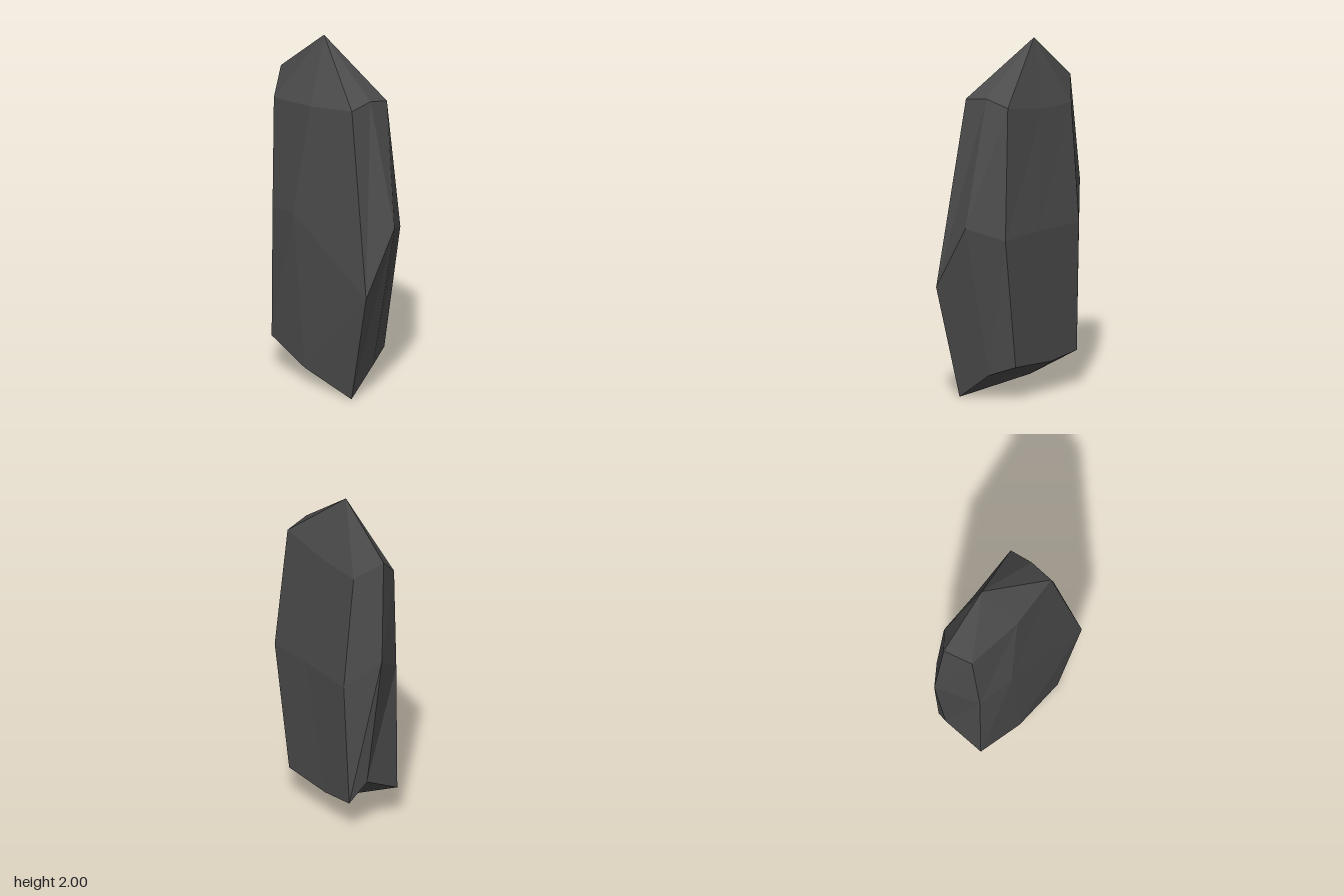
import * as THREE from 'three';

// Cross-sections run counterclockwise from above:
// front left, front middle, front right, right, back right, back middle, back left, left
const bottomRing = [
  [-0.33, 0.205, 0.145], [-0.04, 0.1, 0.18], [0.305, 0, 0.162], [0.285, 0.145, -0.03],
  [0.23, 0.2, -0.175], [-0.09, 0.18, -0.175], [-0.31, 0.205, -0.18], [-0.355, 0.33, -0.09],
];
const middleRing = [
  [-0.33, 0.97, 0.138], [-0.12, 1.0, 0.19], [0.46, 0.645, 0.205], [0.47, 1.01, -0.01],
  [0.34, 0.94, -0.19], [0.06, 0.95, -0.198], [-0.295, 0.94, -0.207], [-0.47, 1.14, -0.075],
];
const topRing = [
  [-0.355, 1.6, 0.102], [-0.025, 1.648, 0.15], [0.282, 1.695, 0.135], [0.284, 1.715, -0.01],
  [0.272, 1.678, -0.153], [-0.05, 1.62, -0.148], [-0.305, 1.61, -0.145], [-0.435, 1.732, -0.036],
];
const tip = [-0.105, 2, -0.04];
const base = [-0.05, 0.1, -0.06];

// Separate triangles keep every facet flat
function facets(triangles) {
  const geometry = new THREE.BufferGeometry();
  geometry.setAttribute('position', new THREE.Float32BufferAttribute(triangles.flat(2), 3));
  geometry.computeVertexNormals();
  return geometry;
}

// Wall between two rings
function band(lower, upper) {
  return lower.flatMap((a, i) => {
    const j = (i + 1) % lower.length;
    return [[a, lower[j], upper[j]], [a, upper[j], upper[i]]];
  });
}

// Cone of facets from a ring to one point
function cap(ring, point, facingDown) {
  return ring.map((a, i) => {
    const b = ring[(i + 1) % ring.length];
    return facingDown ? [b, a, point] : [a, b, point];
  });
}

export function createModel() {
  const group = new THREE.Group();
  group.name = 'standingStone';
  const stone = new THREE.MeshStandardMaterial({ color: 0x4c4c4c });
  stone.name = 'dark grey stone';

  const parts = {
    underside: cap(bottomRing, base, true),
    lowerBody: band(bottomRing, middleRing),
    upperBody: band(middleRing, topRing),
    peak: cap(topRing, tip, false),
  };
  for (const [name, triangles] of Object.entries(parts)) {
    const mesh = new THREE.Mesh(facets(triangles), stone);
    mesh.name = name;
    group.add(mesh);
  }
  return group;
}
